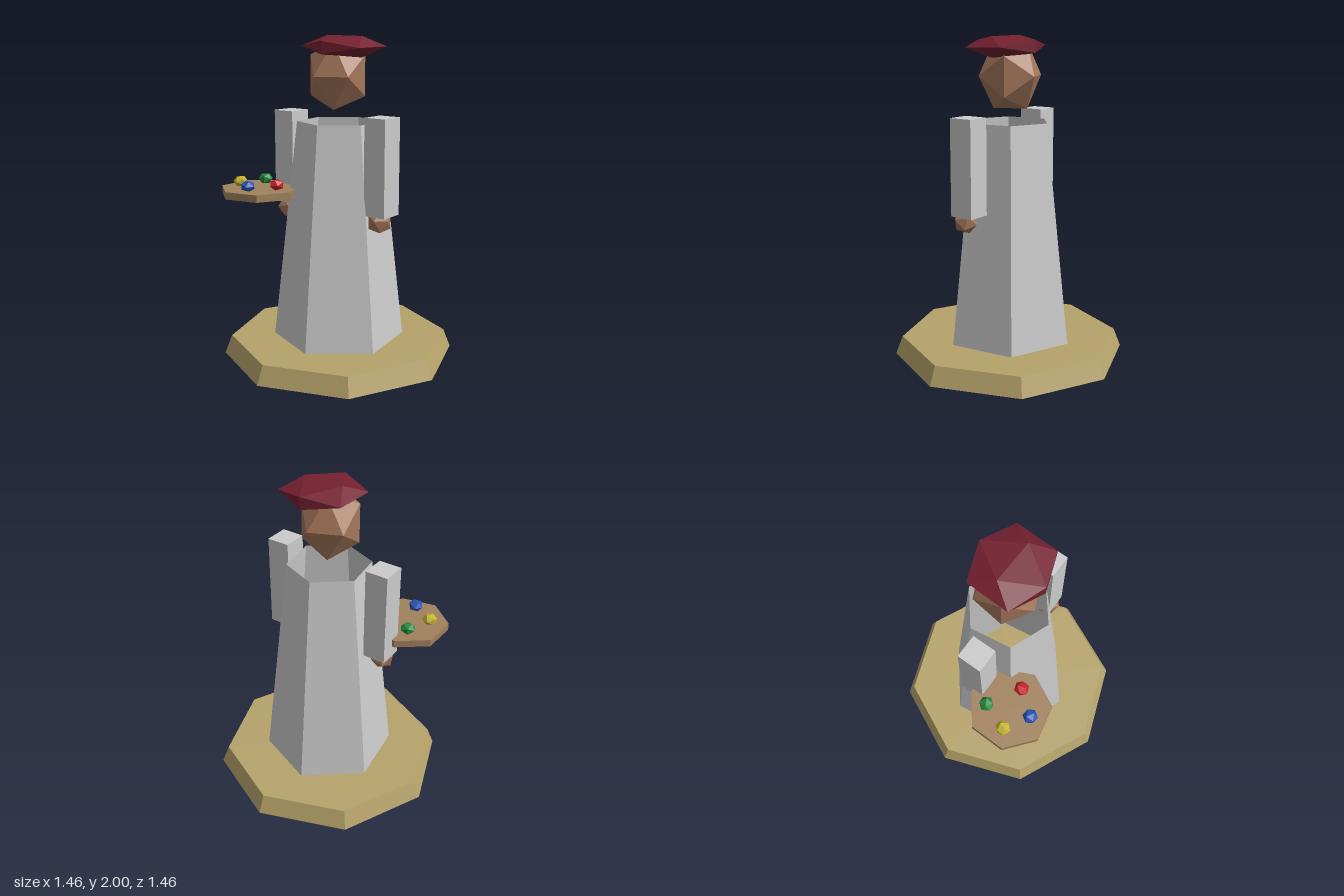
import * as THREE from 'three';

const mat = (color, extra = {}) =>
  new THREE.MeshStandardMaterial({ color, flatShading: true, ...extra });

export function createModel() {
  const model = new THREE.Group();
  const grey = mat(0xcccccc);
  const skin = mat(0xa5775b);

  const add = (name, geometry, material, x, y, z, parent = model) => {
    const mesh = new THREE.Mesh(geometry, material);
    mesh.name = name;
    mesh.position.set(x, y, z);
    parent.add(mesh);
    return mesh;
  };

  // Tapered eight-sided stand, hollow underneath
  const basePoints = [[0.73, 0], [0.685, 0.115], [0, 0.115]].map(([r, y]) => new THREE.Vector2(r, y));
  add('base', new THREE.LatheGeometry(basePoints, 8, -0.045),
    mat(0xb6a36a, { side: THREE.DoubleSide }), 0, 0, 0);

  // Hollow six-sided robe, open at the neck
  add('robe', new THREE.CylinderGeometry(0.255, 0.41, 1.37, 6, 1, true, 0.148),
    mat(0xcccccc, { side: THREE.DoubleSide }), 0, 0.8, 0);

  // Head, turned and slightly tall
  const head = add('head', new THREE.IcosahedronGeometry(0.2, 0), skin, -0.008, 1.762, 0);
  head.scale.y = 1.17;
  head.rotation.y = Math.PI / 2 + 0.42;

  // Flat cap worn off to one side
  const cap = add('cap', new THREE.IcosahedronGeometry(0.256, 0), mat(0x742030), 0.04, 1.9375, -0.003);
  cap.scale.y = 0.285;
  cap.rotation.set(0.015, -0.025, -0.015);

  // Straight arms with faceted hands
  for (const [label, side] of [['left', 1], ['right', -1]]) {
    const arm = new THREE.Group();
    arm.name = label + 'Arm';
    model.add(arm);
    add(label + 'Sleeve', new THREE.BoxGeometry(0.146, 0.585, 0.153), grey, side * 0.351, 1.2425, 0.037, arm);
    const hand = add(label + 'Hand', new THREE.IcosahedronGeometry(0.077, 0), skin, side * 0.355, 0.915, 0.06, arm);
    hand.rotation.set(0.3, 0.4, side * 0.35);
  }

  // Seven-sided palette with dabs of paint
  const palette = new THREE.Group();
  palette.name = 'palette';
  model.add(palette);
  add('paletteBoard', new THREE.CylinderGeometry(0.253, 0.253, 0.045, 7, 1, false, 0.656),
    mat(0xa0815c), -0.39, 1.0475, 0.292, palette);
  const dabs = [
    ['greenPaint', 0x22883f, -0.46, 0.17],
    ['yellowPaint', 0xc4b430, -0.52, 0.335],
    ['redPaint', 0xc8252d, -0.26, 0.285],
    ['bluePaint', 0x2855b8, -0.37, 0.425],
  ];
  dabs.forEach(([name, color, x, z], i) => {
    const dab = add(name, new THREE.IcosahedronGeometry(0.047, 0), mat(color), x, 1.1, z, palette);
    dab.scale.y = 0.78;
    dab.rotation.y = 0.5 + i * 0.7;
  });

  return model;
}
